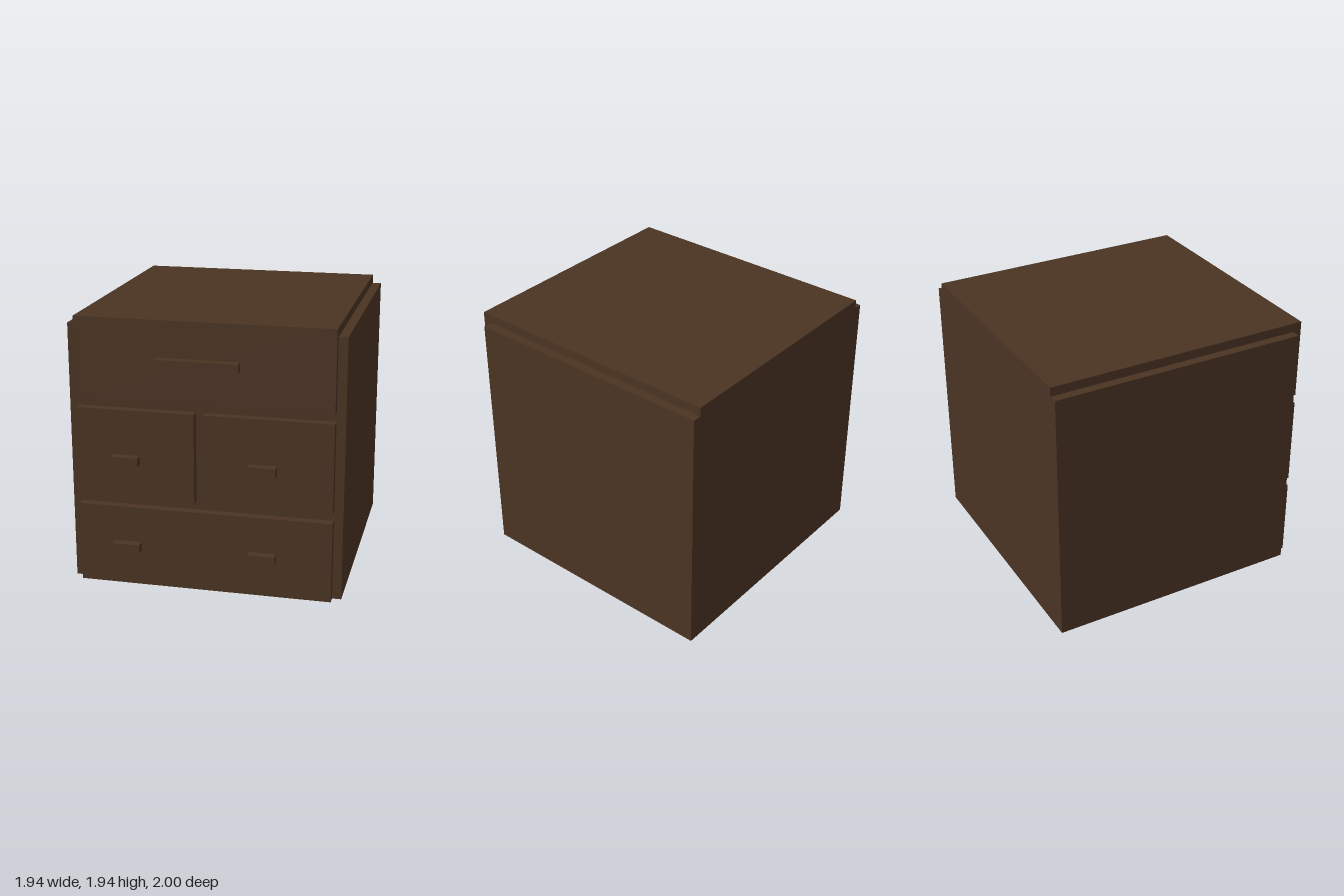
import * as THREE from 'three';

// One grid cell: the depth is 31 cells
const U = 2 / 31;

export function createModel() {
  const model = new THREE.Group();
  model.name = 'chestOfDrawers';
  const wood = new THREE.MeshStandardMaterial({ color: 0x4b3423 });
  wood.name = 'dark brown wood';

  // Box given by its limits in grid cells
  function box(name, x0, x1, y0, y1, z0, z1) {
    const geometry = new THREE.BoxGeometry((x1 - x0) * U, (y1 - y0) * U, (z1 - z0) * U);
    const mesh = new THREE.Mesh(geometry, wood);
    mesh.name = name;
    mesh.position.set((x0 + x1) / 2 * U, (y0 + y1) / 2 * U, (z0 + z1) / 2 * U);
    model.add(mesh);
  }

  const back = -15.5, front = 13.5;

  // Cabinet body, standing one cell above the side panels
  box('body', -14, 14, 0, 30, back, front);
  box('rightSidePanel', -15, -14, 0, 29, back, front);
  box('leftSidePanel', 14, 15, 0, 29, back, front);

  // Raised drawer fronts: x0, x1, y0, y1
  const drawers = {
    topDrawer: [-14, 14, 21, 30],
    middleRightDrawer: [-14, -1, 10, 20],
    middleLeftDrawer: [0, 14, 10, 20],
    bottomDrawer: [-14, 14, 0, 9],
  };
  for (const [name, d] of Object.entries(drawers)) box(name, ...d, front, front + 1);

  // Handles: x0, x1, y0
  const handles = {
    topHandle: [-5, 4, 25],
    middleRightHandle: [-10, -7, 14],
    middleLeftHandle: [5, 8, 14],
    bottomRightHandle: [-10, -7, 4],
    bottomLeftHandle: [5, 8, 4],
  };
  for (const [name, [x0, x1, y]] of Object.entries(handles)) box(name, x0, x1, y, y + 1, front + 1, front + 2);

  return model;
}
